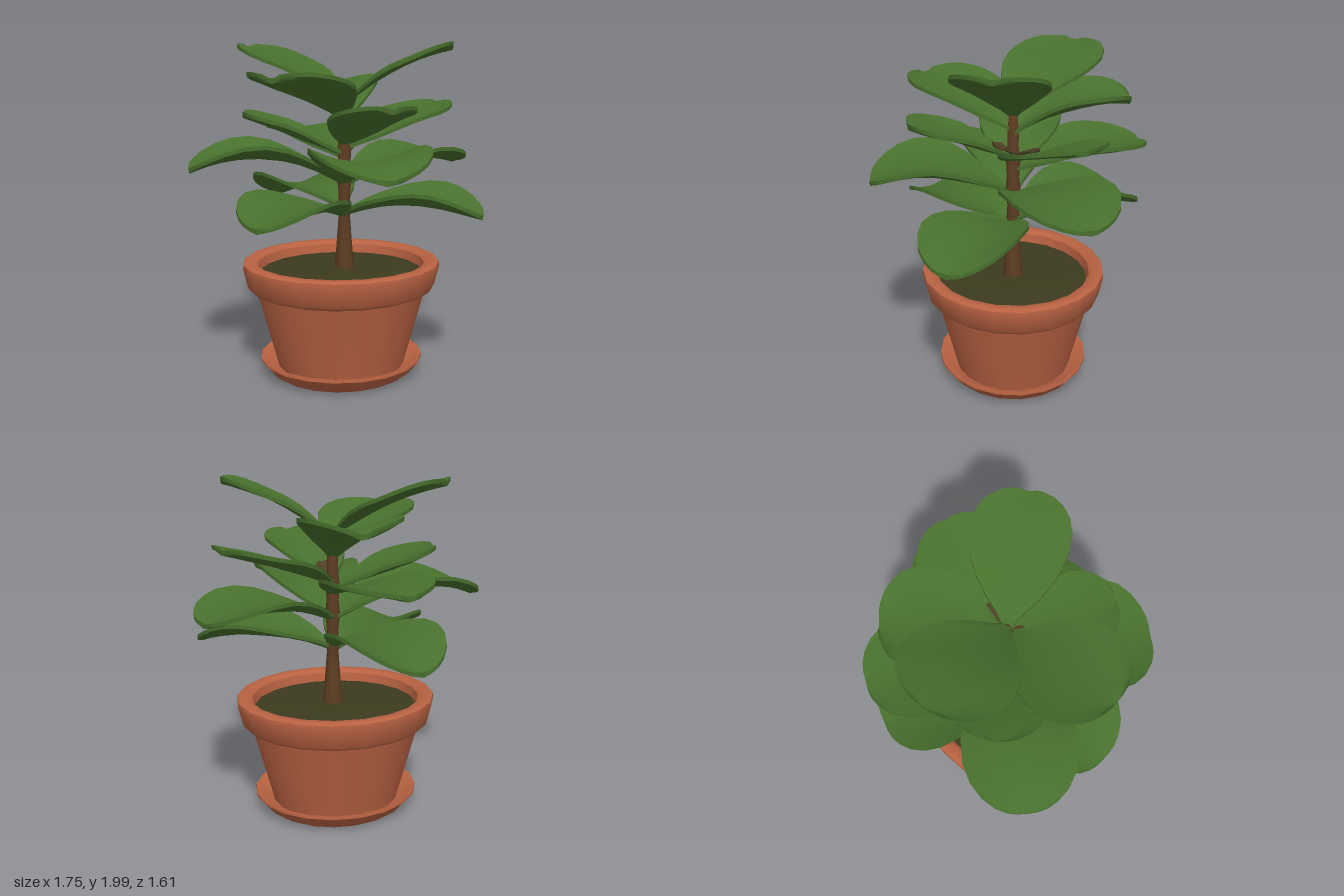
import * as THREE from 'three';
import { toCreasedNormals } from 'three/addons/utils/BufferGeometryUtils.js';

const STEM = { x: 0.04, z: -0.02 };

function material(name, color) {
  const m = new THREE.MeshStandardMaterial({ color });
  m.name = name;
  return m;
}

// Spin a profile of [radius, height] pairs into a faceted but softly shaded solid
function turned(profile, sides, crease = 0.6) {
  const pts = profile.map(([r, y]) => new THREE.Vector2(r, y));
  return toCreasedNormals(new THREE.LatheGeometry(pts, sides), crease);
}

// Obovate outline: [position along leaf, share of the half width]
const OUTLINE = [
  [0, 0.08], [0.08, 0.23], [0.18, 0.5], [0.3, 0.74], [0.43, 0.91], [0.57, 0.99],
  [0.7, 1], [0.81, 0.91], [0.9, 0.74], [0.96, 0.53], [0.99, 0.34], [1, 0.18],
];

// A thick leaf from the stem to a tip, arching through a middle height, with edges lifted by cup
function leafGeometry({ y, tip, mid, width, cup, thick = 0.022 }) {
  const across = 8;
  const ring = 2 * (across + 1);
  const dx = tip[0] - STEM.x, dz = tip[2] - STEM.z;
  const length = Math.hypot(dx, dz);
  const side = [dz / length, -dx / length];
  const pos = [], idx = [];

  OUTLINE.forEach(([u, share]) => {
    const spine = y * (1 - u) * (1 - 2 * u) + mid * 4 * u * (1 - u) + tip[1] * u * (2 * u - 1);
    for (let k = 0; k < ring; k++) {
      const top = k <= across;
      const v = ((top ? k : ring - 1 - k) / across) * 2 - 1;
      const w = v * share * width;
      const rib = top ? 0 : -thick * (1 + 0.4 * (1 - Math.abs(v)));
      const lift = cup * v * v * share + 0.008 * Math.sin(9 * u + 3 * v + 5 * y) * Math.abs(v);
      pos.push(STEM.x + dx * u + side[0] * w, spine + lift + rib, STEM.z + dz * u + side[1] * w);
    }
  });

  for (let i = 0; i < OUTLINE.length - 1; i++) {
    for (let k = 0; k < ring; k++) {
      const a = i * ring + k, b = i * ring + ((k + 1) % ring);
      idx.push(a, a + ring, b, b, a + ring, b + ring);
    }
  }
  // Close the rounded tip
  const last = (OUTLINE.length - 1) * ring;
  for (let k = 0; k < across; k++) {
    const a = last + k, b = a + 1, c = last + ring - 1 - k, d = c - 1;
    idx.push(a, c, b, b, c, d);
  }

  const g = new THREE.BufferGeometry();
  g.setAttribute('position', new THREE.Float32BufferAttribute(pos, 3));
  g.setIndex(idx);
  return toCreasedNormals(g, 0.8);
}

// Leaves from the crown down to the lowest tier
const LEAVES = [
  { y: 1.68, tip: [-0.46, 1.98, -0.45], mid: 1.87, width: 0.3, cup: 0.02 },
  { y: 1.66, tip: [0.64, 1.98, 0.15], mid: 1.87, width: 0.26, cup: 0.02 },
  { y: 1.58, tip: [-0.47, 1.8, 0.46], mid: 1.72, width: 0.29, cup: 0.05 },
  { y: 1.55, tip: [0.1, 1.74, -0.67], mid: 1.72, width: 0.28, cup: 0.07 },
  { y: 1.4, tip: [0.73, 1.64, -0.28], mid: 1.53, width: 0.28, cup: 0.03 },
  { y: 1.42, tip: [0.14, 1.64, 0.57], mid: 1.54, width: 0.24, cup: 0.04 },
  { y: 1.36, tip: [-0.54, 1.59, -0.15], mid: 1.48, width: 0.25, cup: 0.04 },
  { y: 1.34, tip: [-0.1, 1.44, -0.8], mid: 1.43, width: 0.29, cup: 0.055 },
  { y: 1.18, tip: [-0.87, 1.29, -0.01], mid: 1.36, width: 0.31, cup: 0.065 },
  { y: 1.18, tip: [0.85, 1.27, -0.32], mid: 1.31, width: 0.3, cup: 0.06 },
  { y: 1.18, tip: [0.05, 1.3, 0.8], mid: 1.35, width: 0.33, cup: 0.075 },
  { y: 1.0, tip: [0.75, 1.02, 0.4], mid: 1.09, width: 0.28, cup: 0.075 },
  { y: 0.99, tip: [-0.56, 1.02, 0.47], mid: 1.08, width: 0.3, cup: 0.075 },
  { y: 1.02, tip: [-0.21, 1.03, -0.77], mid: 1.12, width: 0.32, cup: 0.085 },
];

// Dry patches lying on the bases of two middle leaves
const PATCHES = [
  { y: 1.415, tip: [0.26, 1.505, -0.1], mid: 1.463, width: 0.08, cup: 0.005, thick: 0.012 },
  { y: 1.43, tip: [0.06, 1.492, 0.1], mid: 1.463, width: 0.07, cup: 0.005, thick: 0.012 },
];

export function createModel() {
  const terracotta = material('terracotta', 0xb96242);
  const leafGreen = material('leaf green', 0x48702d);
  const bark = material('bark brown', 0x5e3d22);
  const dry = material('dry brown', 0x4d3f24);
  const earth = material('dark soil', 0x3c3a1e);

  const model = new THREE.Group();
  model.name = 'pottedPlant';
  const add = (name, geometry, mat, parent = model) => {
    const mesh = new THREE.Mesh(geometry, mat);
    mesh.name = name;
    parent.add(mesh);
    return mesh;
  };

  // Container, slightly narrower front to back
  const container = new THREE.Group();
  container.name = 'container';
  container.position.set(0.022, 0, -0.02);
  container.scale.z = 0.92;
  model.add(container);

  add('saucer', turned([
    [0, 0], [0.4, 0], [0.44, 0.025], [0.5, 0.095], [0.498, 0.11],
    [0.475, 0.108], [0.42, 0.055], [0, 0.05],
  ], 20, 0.8), terracotta, container);

  add('pot', turned([
    [0.39, 0.05], [0.405, 0.11], [0.515, 0.525], [0.555, 0.54], [0.572, 0.56],
    [0.6, 0.675], [0.597, 0.7], [0.58, 0.71], [0.53, 0.708], [0.505, 0.69], [0.48, 0.58],
  ], 20, 0.7), terracotta, container);

  add('soil', turned([[0.5, 0.635], [0.38, 0.65], [0.2, 0.645], [0, 0.66]], 20), earth, container);

  // Trunk with swollen leaf nodes
  const trunk = add('trunk', turned([
    [0.062, 0.62], [0.054, 0.72], [0.044, 0.85], [0.034, 0.98], [0.04, 1.02], [0.034, 1.1],
    [0.045, 1.2], [0.036, 1.28], [0.042, 1.38], [0.032, 1.46], [0.033, 1.56], [0.022, 1.66], [0, 1.68],
  ], 9, 1), bark);
  trunk.position.set(STEM.x, 0, STEM.z);

  // Foliage
  const foliage = new THREE.Group();
  foliage.name = 'foliage';
  model.add(foliage);
  LEAVES.forEach((leaf, i) => add(`leaf${i + 1}`, leafGeometry(leaf), leafGreen, foliage));
  PATCHES.forEach((patch, i) => add(`dryPatch${i + 1}`, leafGeometry(patch), dry, foliage));

  return model;
}
